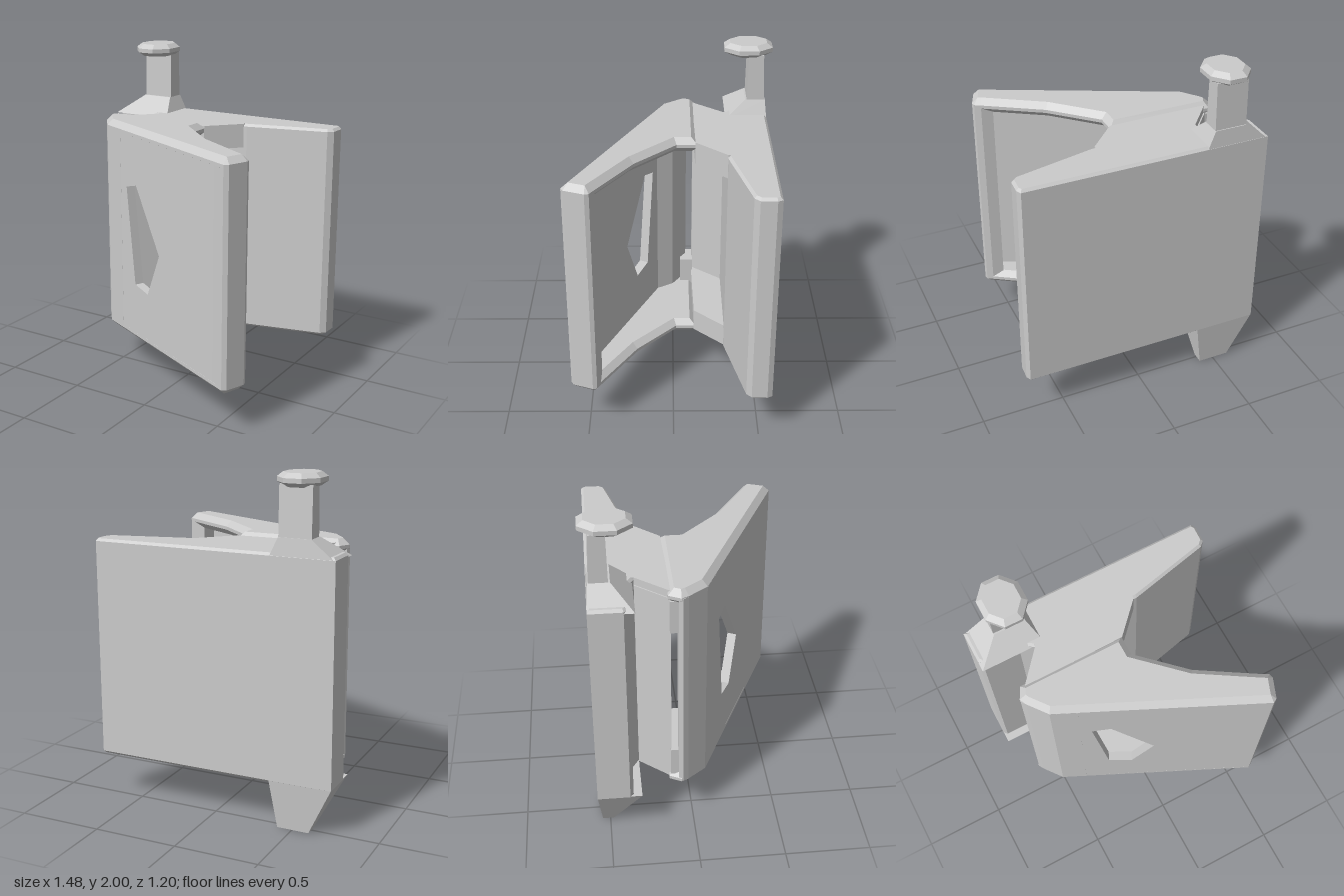
import * as THREE from 'three';

const material = new THREE.MeshStandardMaterial({ color: 0xcccccc, flatShading: true });

function add(parent, name, geometry) {
  const mesh = new THREE.Mesh(geometry, material);
  mesh.name = name;
  parent.add(mesh);
  return mesh;
}

// Upright prism from a plan outline of [x, z] points, with chamfered rims
function prism(plan, y0, y1, bevel = 0) {
  const shape = new THREE.Shape(plan.map(([x, z]) => new THREE.Vector2(x, -z)));
  const geometry = new THREE.ExtrudeGeometry(shape, {
    depth: y1 - y0 - 2 * bevel, bevelEnabled: bevel > 0, bevelSize: bevel,
    bevelThickness: bevel, bevelOffset: -bevel, bevelSegments: 1,
  });
  return geometry.rotateX(-Math.PI / 2).translate(0, y0 + bevel, 0);
}

// Box whose bottom and top rectangles differ: [x0, x1, z0, z1]
function taper(y0, bottom, y1, top) {
  const geometry = new THREE.BoxGeometry(1, 1, 1);
  const p = geometry.attributes.position;
  for (let i = 0; i < p.count; i++) {
    const up = p.getY(i) > 0;
    const r = up ? top : bottom;
    p.setXYZ(i, p.getX(i) > 0 ? r[1] : r[0], up ? y1 : y0, p.getZ(i) > 0 ? r[3] : r[2]);
  }
  geometry.computeVertexNormals();
  return geometry;
}

function backLeaf() {
  const leaf = new THREE.Group();
  leaf.name = 'backLeaf';
  add(leaf, 'backPlate', prism([
    [-0.74, -0.57], [0.72, -0.57], [0.735, -0.54], [0.73, -0.45], [0.7, -0.42],
    [0.22, -0.31], [-0.42, -0.31], [-0.5, -0.36], [-0.72, -0.36], [-0.74, -0.38],
  ], 0.27, 1.575, 0.015));

  // Pin: shoulder, stem, flared head and the pointed foot below
  add(leaf, 'pinShoulder', taper(1.55, [-0.74, -0.36, -0.57, -0.32], 1.66, [-0.6, -0.41, -0.56, -0.44]));
  add(leaf, 'pinStem', taper(1.65, [-0.6, -0.41, -0.555, -0.45], 1.94, [-0.6, -0.41, -0.545, -0.455]));
  const profile = [[0, 1.925], [0.09, 1.925], [0.125, 1.95], [0.125, 1.975], [0.095, 2], [0, 2]];
  const head = new THREE.LatheGeometry(profile.map(([r, y]) => new THREE.Vector2(r, y)), 8, Math.PI / 8);
  add(leaf, 'pinHead', head.scale(1.06, 1, 1.25).translate(-0.505, 0, -0.455));
  add(leaf, 'pinFoot', taper(0, [-0.6, -0.41, -0.545, -0.48], 0.29, [-0.74, -0.365, -0.57, -0.31]));
  return leaf;
}

function frontLeaf() {
  const leaf = new THREE.Group();
  leaf.name = 'frontLeaf';

  // Slanted panel with a five-sided opening, drawn in its own plane
  const dirX = 0.906, dirZ = 0.424, startX = -0.53, startZ = 0.08, thickness = 0.055;
  const along = (x) => (x - startX) / dirX;
  const panel = new THREE.Shape([[0, 0.29], [1.2, 0.29], [1.2, 1.555], [0, 1.555]]
    .map(([s, y]) => new THREE.Vector2(s, y)));
  panel.holes.push(new THREE.Path([[-0.33, 1.22], [-0.23, 1.25], [0, 0.88], [-0.12, 0.6], [-0.25, 0.62]]
    .map(([x, y]) => new THREE.Vector2(along(x), y))));
  const geometry = new THREE.ExtrudeGeometry(panel, { depth: thickness, bevelEnabled: false });
  geometry.translate(0, 0, -thickness).rotateY(-Math.atan2(dirZ, dirX)).translate(startX, 0, startZ);
  add(leaf, 'slantedPanel', geometry);

  // Uprights closing the panel at both ends, and the rear web
  add(leaf, 'knuckle', prism([
    [-0.53, 0.08], [-0.615, -0.03], [-0.635, -0.06], [-0.625, -0.085], [-0.55, -0.085],
    [-0.42, 0], [-0.36, 0.1], [-0.39, 0.146],
  ], 0.29, 1.555));
  add(leaf, 'endPost', prism([
    [0.5, 0.562], [0.58, 0.6], [0.605, 0.585], [0.65, 0.47], [0.645, 0.445], [0.61, 0.425], [0.54, 0.42],
  ], 0.29, 1.555));
  add(leaf, 'rearWeb', prism([[-0.585, -0.125], [-0.43, -0.31], [-0.35, -0.31], [-0.5, -0.125]], 0.3, 1.53));

  // Rims and bridges at bottom and top
  const rim = [
    [-0.6, -0.14], [-0.635, -0.07], [-0.615, -0.03], [-0.53, 0.08], [0.58, 0.6], [0.605, 0.585],
    [0.65, 0.47], [0.645, 0.445], [0.61, 0.425], [0.28, 0.22], [0.03, -0.02], [0.03, -0.14],
  ];
  const bridge = [[-0.58, -0.12], [-0.42, -0.31], [-0.42, -0.33], [0.2, -0.33], [0.2, -0.31], [0.03, -0.13]];
  const lip = [[-0.6, -0.13], [-0.6, -0.05], [-0.46, -0.05], [-0.46, -0.13]];
  const ends = [
    { side: 'bottom', rim: [0.25, 0.34], bridge: [0.28, 0.42], lip: [0.32, 0.5] },
    { side: 'top', rim: [1.505, 1.595], bridge: [1.43, 1.575], lip: [1.32, 1.52] },
  ];
  for (const end of ends) {
    add(leaf, end.side + 'Rim', prism(rim, ...end.rim, 0.035));
    add(leaf, end.side + 'Bridge', prism(bridge, ...end.bridge));
    add(leaf, end.side + 'Lip', prism(lip, ...end.lip));
  }
  return leaf;
}

export function createModel() {
  const hinge = new THREE.Group();
  hinge.name = 'hinge';
  hinge.add(backLeaf(), frontLeaf());
  return hinge;
}
